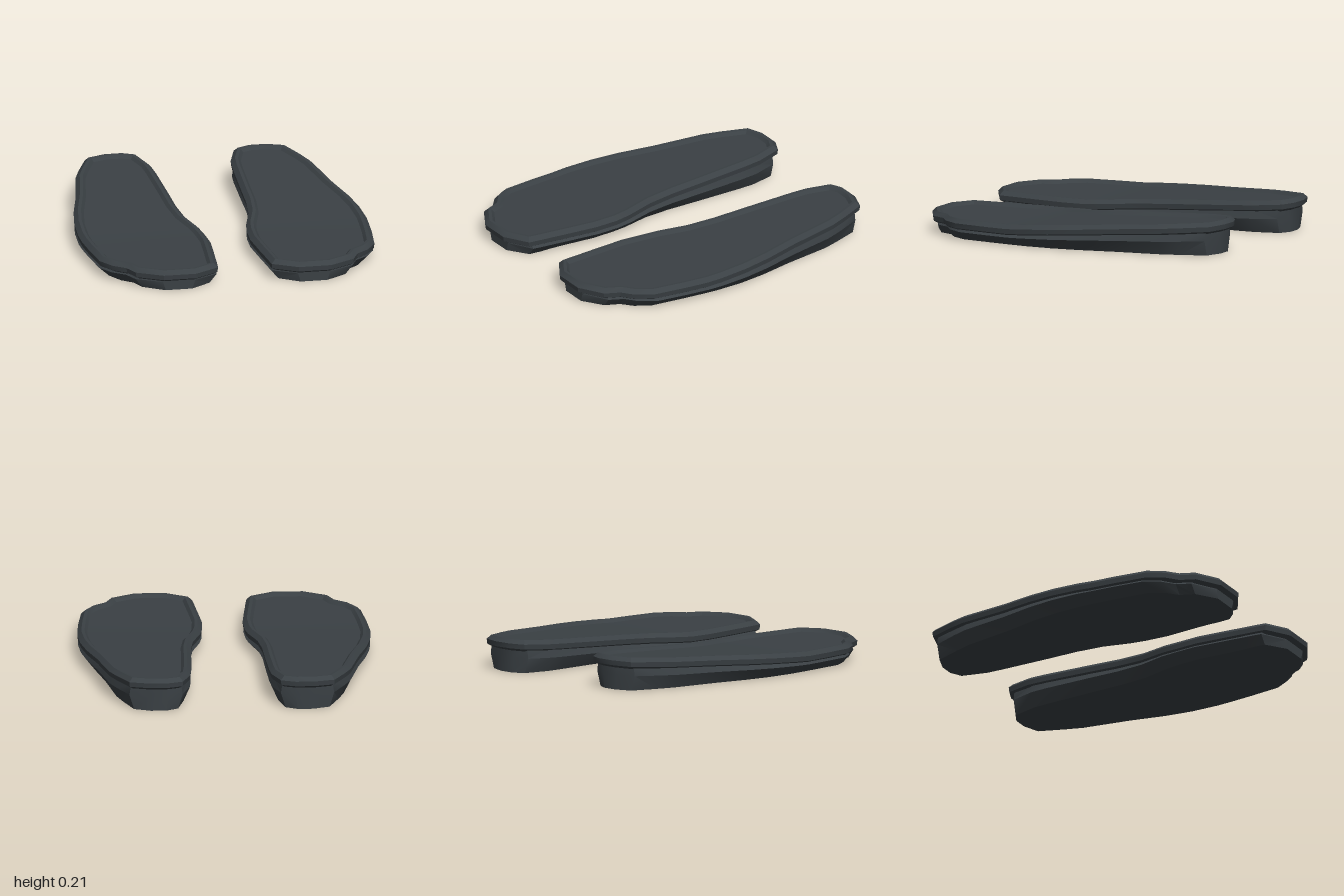
import * as THREE from 'three';
import { toCreasedNormals } from 'three/addons/utils/BufferGeometryUtils.js';

// Outline stations from toe to heel: [z, inner x, outer x]
const STATIONS = [
  [1, 0.315, 0.515], [0.91, 0.165, 0.67], [0.82, 0.155, 0.71], [0.76, 0.15, 0.785],
  [0.66, 0.14, 0.845], [0.45, 0.122, 0.87], [0.3, 0.13, 0.882], [0.2, 0.145, 0.886],
  [0.02, 0.195, 0.875], [-0.16, 0.215, 0.845], [-0.38, 0.222, 0.79], [-0.69, 0.235, 0.73],
  [-0.8, 0.245, 0.69], [-0.96, 0.295, 0.62], [-1, 0.385, 0.5],
];
const N = STATIONS.length;

// The upper surface climbs steadily towards the heel
const lift = (z) => Math.max(0, (0.3 - z) / 1.25) * 0.075;

// Closed loop: up the outer side, back down the inner side
function outline(widthScale = 1, lengthScale = 1) {
  const side = (s) => STATIONS.map(([z, a, b]) => ({
    x: (a + b) / 2 + s * widthScale * (b - a) / 2, z: z * lengthScale, rise: lift(z),
  }));
  return [...side(1), ...side(-1).reverse()];
}

// Move a loop inwards by a constant distance
function inset(loop, d) {
  const n = loop.length;
  const normal = (p, q) => new THREE.Vector2(p.z - q.z, q.x - p.x).normalize();
  return loop.map((p, i) => {
    const a = normal(loop[(i + n - 1) % n], p);
    const b = normal(p, loop[(i + 1) % n]);
    const m = a.clone().add(b).normalize();
    const k = d / Math.max(0.6, m.dot(a));
    const z = p.z - m.y * k;
    return { x: p.x - m.x * k, z, rise: lift(z) };
  });
}

const ring = (loop, y, rise = 1) => loop.map((p) => [p.x, y + p.rise * rise, p.z]);

// Skin a stack of rings and optionally close its bottom or top
function skin(rings, mirror, { bottom = false, top = false, walls = true } = {}) {
  const pos = [];
  const tri = (a, b, c) => {
    for (const p of mirror < 0 ? [a, c, b] : [a, b, c]) pos.push(p[0] * mirror, p[1], p[2]);
  };
  const quad = (a, b, c, d) => { tri(a, b, c); tri(a, c, d); };
  if (walls) {
    for (let r = 0; r + 1 < rings.length; r++) {
      const a = rings[r], b = rings[r + 1];
      for (let i = 0; i < a.length; i++) {
        const j = (i + 1) % a.length;
        quad(a[i], a[j], b[j], b[i]);
      }
    }
  }
  const cap = (l, up) => {
    for (let i = 0; i + 1 < N; i++) {
      const q = [l[i], l[i + 1], l[2 * N - 2 - i], l[2 * N - 1 - i]];
      quad(...(up ? q : q.reverse()));
    }
  };
  if (bottom) cap(rings[0], false);
  if (top) cap(rings[rings.length - 1], true);
  const geometry = new THREE.BufferGeometry();
  geometry.setAttribute('position', new THREE.Float32BufferAttribute(pos, 3));
  return toCreasedNormals(geometry, Math.PI / 7);
}

export function createModel() {
  const model = new THREE.Group();
  model.name = 'pairOfSoles';
  const rubber = new THREE.MeshStandardMaterial({ color: 0x3a4044 });
  rubber.name = 'dark grey rubber';

  // Tread: narrow at the ground, widest at mid height, tucked under the rim
  const tread = [
    ring(outline(0.82, 0.965), 0, 0),
    ring(outline(0.99, 0.965), 0.053, 0.5),
    ring(outline(0.93, 0.965), 0.075),
  ];
  // Rim: faceted bead, from its underside over the top to the insole
  const edge = outline();
  const rim = [[0.05, 0.06], [0.03, 0.06], [0.004, 0.075], [0, 0.105], [0.026, 0.13], [0.045, 0.128], [0.062, 0.11]]
    .map(([d, y]) => ring(inset(edge, d), y));
  const insole = [rim[rim.length - 1]];

  for (const [name, mirror] of [['leftSole', 1], ['rightSole', -1]]) {
    const sole = new THREE.Group();
    sole.name = name;
    const add = (part, geometry) => {
      const mesh = new THREE.Mesh(geometry, rubber);
      mesh.name = part;
      sole.add(mesh);
    };
    add('tread', skin(tread, mirror, { bottom: true }));
    add('rim', skin(rim, mirror));
    add('insole', skin(insole, mirror, { walls: false, top: true }));
    model.add(sole);
  }
  return model;
}
